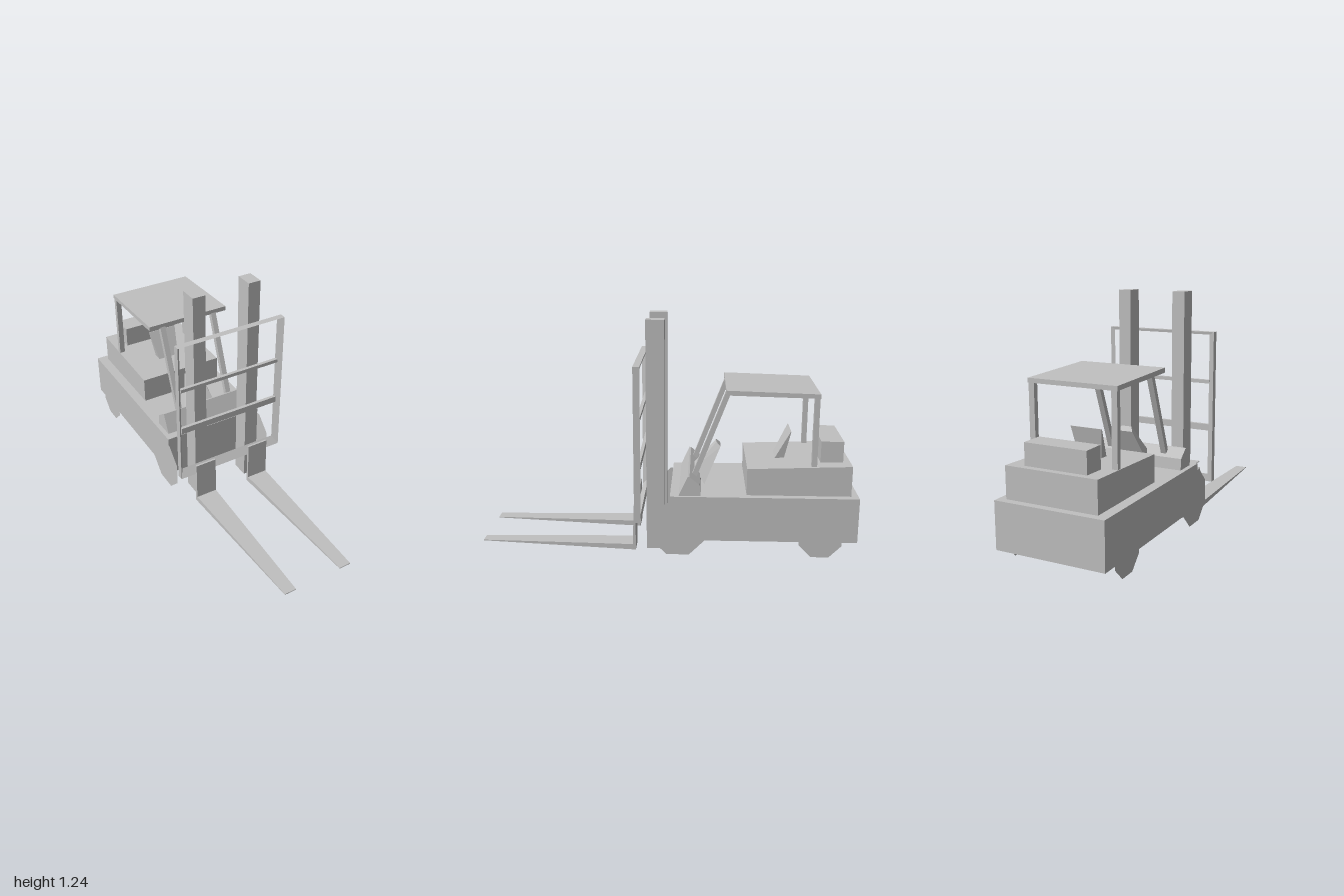
import * as THREE from 'three';

const grey = new THREE.MeshStandardMaterial({ color: 0xc0c0c0, side: THREE.DoubleSide, flatShading: true });
grey.name = 'plain grey';

// Four corners: front edge (half width, y, z) and back edge, centred on cx
const section = (cx, [fw, fy, fz], [bw, by, bz]) => [
  [cx - fw, fy, fz], [cx + fw, fy, fz], [cx + bw, by, bz], [cx - bw, by, bz],
];

function fromQuads(quads) {
  const pos = [];
  for (const [a, b, c, d] of quads) pos.push(...a, ...b, ...c, ...a, ...c, ...d);
  const g = new THREE.BufferGeometry();
  g.setAttribute('position', new THREE.Float32BufferAttribute(pos, 3));
  g.computeVertexNormals();
  return g;
}

// Solid between a lower and an upper section; the underside may be left open
function loft(lo, up, open = false) {
  const quads = [up];
  if (!open) quads.push([...lo].reverse());
  for (let i = 0; i < 4; i++) {
    const j = (i + 1) % 4;
    quads.push([lo[i], lo[j], up[j], up[i]]);
  }
  return fromQuads(quads);
}

function box(x0, x1, y0, y1, z0, z1, open = false) {
  const cx = (x0 + x1) / 2, w = (x1 - x0) / 2;
  const at = (y) => section(cx, [w, y, z1], [w, y, z0]);
  return loft(at(y0), at(y1), open);
}

export function createModel() {
  const model = new THREE.Group();
  model.name = 'forklift';
  const add = (name, geometry) => {
    const m = new THREE.Mesh(geometry, grey);
    m.name = name;
    model.add(m);
    return m;
  };

  // Chassis shell, open underneath
  add('chassis', box(-0.295, 0.29, 0.093, 0.335, -1, -0.02, true));

  // Rear hood with a slightly rising top, and the box on it
  add('hood', loft(
    section(0.005, [0.245, 0.335, -0.42], [0.245, 0.335, -0.962]),
    section(0.005, [0.245, 0.478, -0.42], [0.245, 0.497, -0.962])));
  add('rearBox', box(-0.165, 0.167, 0.48, 0.607, -0.925, -0.807));

  // Wedge-shaped seat back
  add('seatBack', loft(
    section(0.003, [0.062, 0.48, -0.575], [0.062, 0.48, -0.625]),
    section(0.003, [0.086, 0.636, -0.655], [0.086, 0.636, -0.658])));

  // Dashboard cowl, side profile extruded across the body
  const profile = [[-0.065, 0.335], [-0.113, 0.44], [-0.122, 0.438], [-0.175, 0.395], [-0.18, 0.335]];
  const cowl = new THREE.ExtrudeGeometry(
    new THREE.Shape(profile.map(([z, y]) => new THREE.Vector2(z, y))),
    { depth: 0.545, bevelEnabled: false });
  cowl.rotateY(-Math.PI / 2).translate(0.275, 0, 0);
  add('dashboard', cowl);

  // Tapered steering column leaning back
  add('steeringColumn', loft(
    section(0.002, [0.057, 0.42, -0.145], [0.1, 0.34, -0.2]),
    section(0.002, [0.028, 0.56, -0.262], [0.045, 0.538, -0.285])));

  // Overhead guard
  add('roof', loft(
    section(0, [0.24, 0.865, -0.305], [0.24, 0.852, -0.782]),
    section(0, [0.24, 0.89, -0.305], [0.24, 0.875, -0.782])));

  // Octagonal wheel discs lying flat against the chassis sides
  const wheels = [['frontWheel', 0.157, -0.062, 0.156], ['rearWheel', 0.122, -0.808, 0.121]];

  for (const side of [-1, 1]) {
    const label = side > 0 ? 'left' : 'right';
    for (const [name, y, z, r] of wheels) {
      const g = new THREE.CircleGeometry(r, 8);
      g.rotateZ(Math.PI / 8).rotateY(side * Math.PI / 2);
      add(`${label} ${name}`, g).position.set(side > 0 ? 0.293 : -0.298, y, z);
    }

    // Upright rear post and slanted front post
    add(`${label} rearPost`, box(side * 0.222 - 0.015, side * 0.222 + 0.015, 0.485, 0.86, -0.78, -0.753));
    add(`${label} frontPost`, loft(
      section(side * 0.16, [0.015, 0.41, -0.13], [0.015, 0.4, -0.155]),
      section(side * 0.16, [0.015, 0.87, -0.305], [0.015, 0.865, -0.332])));

    // Mast column, hollow from below
    const m = side * 0.16;
    add(`${label} mast`, box(m - 0.035, m + 0.035, 0.002, 1.24, 0.012, 0.108, true));

    // Fork: upright shank and tapering tine
    const f = side * 0.167;
    add(`${label} forkShank`, loft(
      section(f, [0.06, 0.008, 0.18], [0.06, 0.008, 0.165]),
      section(f, [0.06, 0.255, 0.176], [0.06, 0.255, 0.165])));
    add(`${label} forkTine`, loft(
      section(f, [0.033, 0.032, 1], [0.06, 0.006, 0.165]),
      section(f, [0.033, 0.036, 1], [0.06, 0.037, 0.165])));
  }

  // Load backrest: frame whose front bevels inward to the back
  const ring = (x, y0, y1, z) => [[-x, y0, z], [x, y0, z], [x, y1, z], [-x, y1, z]];
  const loops = [ring(0.315, 0.195, 1.023, 0.165), ring(0.29, 0.237, 1.009, 0.132), ring(0.315, 0.195, 1.023, 0.13)];
  const frame = [];
  loops.forEach((loop, k) => {
    const next = loops[(k + 1) % 3];
    for (let i = 0; i < 4; i++) {
      const j = (i + 1) % 4;
      frame.push([loop[i], loop[j], next[j], next[i]]);
    }
  });
  add('backrestFrame', fromQuads(frame));
  for (const [y0, y1] of [[0.483, 0.518], [0.744, 0.763]]) {
    add('backrestRail', box(-0.295, 0.295, y0, y1, 0.13, 0.148));
  }

  return model;
}
